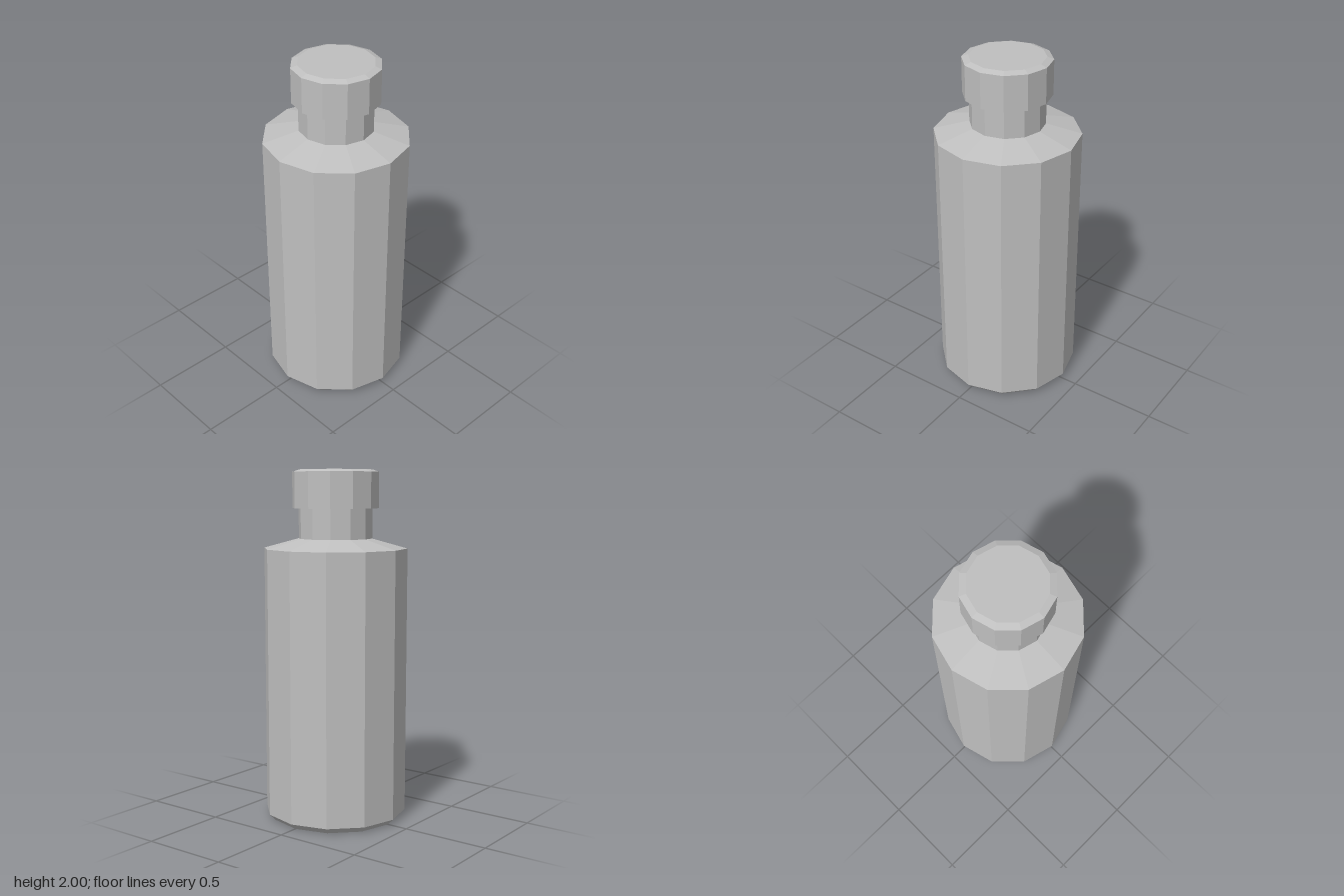
import * as THREE from 'three';

const SIDES = 12;

export function createModel() {
  const group = new THREE.Group();
  group.name = 'bottle';
  const grey = new THREE.MeshStandardMaterial({ color: 0xbfbfbf, flatShading: true });
  grey.name = 'plain grey';

  // Faceted turned part from [radius, height] pairs, bottom to top
  const turned = (name, profile) => {
    const points = profile.map(([r, y]) => new THREE.Vector2(r, y));
    const mesh = new THREE.Mesh(new THREE.LatheGeometry(points, SIDES), grey);
    mesh.name = name;
    group.add(mesh);
  };

  // Body with bevelled foot, sloping shoulder and neck
  turned('body', [
    [0, 0], [0.375, 0], [0.41, 0.035], [0.41, 1.56], [0.21, 1.615], [0.21, 1.79],
  ]);

  // Cap with a shallow bevel around the top
  turned('cap', [
    [0, 1.785], [0.246, 1.785], [0.246, 1.987], [0.21, 2], [0, 2],
  ]);

  return group;
}
